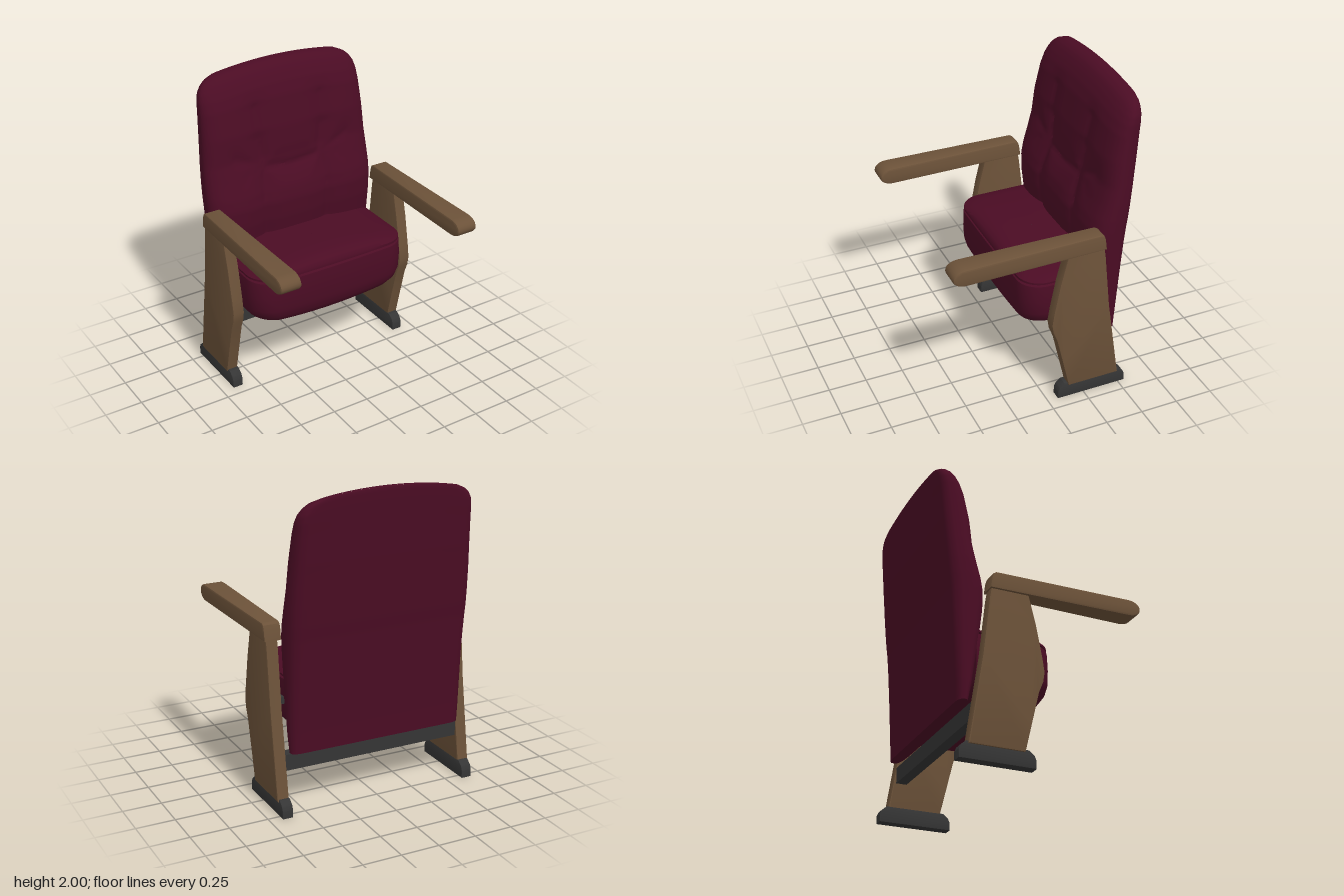
import * as THREE from 'three';
import { toCreasedNormals } from 'three/addons/utils/BufferGeometryUtils.js';

const material = (name, color) => Object.assign(new THREE.MeshStandardMaterial({ color }), { name });

// Linear lookup in a list of [key, a, b, ...] rows
function lookup(rows, k, col) {
  let i = 0;
  while (i < rows.length - 2 && k > rows[i + 1][0]) i++;
  const t = THREE.MathUtils.clamp((k - rows[i][0]) / (rows[i + 1][0] - rows[i][0]), 0, 1);
  return THREE.MathUtils.lerp(rows[i][col], rows[i + 1][col], t);
}

// Skin over a stack of closed rings, bottom to top
function loft(rings, crease) {
  const n = rings[0].length, index = [];
  for (let r = 0; r < rings.length - 1; r++) {
    for (let i = 0; i < n; i++) {
      const a = r * n + i, b = r * n + (i + 1) % n;
      index.push(a, b, b + n, a, b + n, a + n);
    }
  }
  const geo = new THREE.BufferGeometry();
  geo.setAttribute('position', new THREE.Float32BufferAttribute(rings.flat(2), 3));
  geo.setIndex(index);
  return toCreasedNormals(geo, crease);
}

// Side profile of [z, y] points, extruded across x and centred
function sideExtrude(points, width, bevel) {
  const shape = new THREE.Shape(points.map(([z, y]) => new THREE.Vector2(z, y)));
  const geo = new THREE.ExtrudeGeometry(shape, {
    depth: width - 2 * bevel, bevelEnabled: true, bevelSize: bevel,
    bevelThickness: bevel, bevelOffset: -bevel, bevelSegments: 2,
  });
  geo.translate(0, 0, bevel - width / 2);
  geo.rotateY(-Math.PI / 2);
  return geo;
}

// Tufting seams on one half of the backrest: x1, y1, x2, y2, depth
const SEAMS = [
  [0.24, 1.76, 0.235, 1.55, 0.6], [0.235, 1.55, 0.205, 1.36, 1],
  [0.21, 1.34, 0.235, 1.15, 1], [0.235, 1.15, 0.23, 0.9, 0.9], [0.23, 0.9, 0.24, 0.6, 0.7],
  [0, 1.335, 0.21, 1.355, 1], [0.21, 1.355, 0.41, 1.45, 0.45], [0.21, 1.35, 0.33, 1.34, 0.3],
];
function tuft(x, y) {
  let narrow = 0, wide = 0;
  x = Math.abs(x);
  for (const [x1, y1, x2, y2, depth] of SEAMS) {
    const dx = x2 - x1, dy = y2 - y1;
    const t = THREE.MathUtils.clamp(((x - x1) * dx + (y - y1) * dy) / (dx * dx + dy * dy), 0, 1);
    const d = Math.hypot(x - x1 - t * dx, y - y1 - t * dy);
    narrow = Math.max(narrow, depth * Math.exp(-((d / 0.02) ** 2)));
    wide = Math.max(wide, depth * Math.exp(-((d / 0.08) ** 2)));
  }
  return 0.012 * narrow + 0.018 * wide;
}

// Backrest rows: height, half width, front z, back z
const BACK = [
  [0.39, 0.585, -0.43, -0.51], [0.5, 0.592, -0.405, -0.515], [0.8, 0.6, -0.355, -0.535],
  [1.0, 0.605, -0.328, -0.55], [1.12, 0.609, -0.325, -0.56], [1.2, 0.61, -0.34, -0.57],
  [1.3, 0.608, -0.37, -0.58], [1.42, 0.602, -0.4, -0.592], [1.6, 0.592, -0.417, -0.61],
  [1.8, 0.582, -0.455, -0.625], [1.88, 0.577, -0.483, -0.632], [1.93, 0.566, -0.51, -0.636],
  [1.965, 0.543, -0.535, -0.638], [1.985, 0.515, -0.556, -0.639], [2.0, 0.46, -0.59, -0.638],
];
function backrestGeometry() {
  const rows = 84, cols = 80, backCols = 20, rings = [];
  for (let r = 0; r <= rows; r++) {
    const v = r / rows;
    const h = 0.39 + 1.61 * (1 - (1 - v) ** 1.25);
    const [w, zf, zb] = [1, 2, 3].map((c) => lookup(BACK, h, c));
    const mid = (zf + zb) / 2;
    const arch = 0.05 * THREE.MathUtils.smoothstep(h, 1.5, 2);
    const ring = [];
    const add = (s, front) => {
      const x = w * s, y = h - arch * (x / 0.52) ** 2;
      const edge = Math.sqrt(Math.max(0, 1 - Math.abs(s) ** (front ? 8 : 30)));
      let z = mid + ((front ? zf : zb) - mid) * edge;
      if (front) z -= tuft(x, h) * edge * (1 - THREE.MathUtils.smoothstep(h, 1.75, 1.95));
      ring.push([x, y, z]);
    };
    for (let i = 0; i <= cols; i++) add(Math.sin(Math.PI * (i / cols - 0.5)), true);
    for (let i = 1; i < backCols; i++) add(Math.sin(Math.PI * (0.5 - i / backCols)), false);
    const closing = ring.map(([x, y]) => [x, y, mid]);
    if (r === 0) rings.push(closing);
    rings.push(ring);
    if (r === rows) rings.push(closing);
  }
  return loft(rings, 0.8);
}

// Seat layers: height, inset, rise toward the sides, scale
const SEAT = [
  [0.45, 0.16, 0.03, 0.01], [0.45, 0.16, 0.03, 0.5], [0.452, 0.14, 0.04, 1], [0.465, 0.085, 0.045, 1],
  [0.495, 0.04, 0.045, 1], [0.54, 0.012, 0.035, 1], [0.6, 0, 0.02, 1], [0.7, -0.003, 0.01, 1],
  [0.8, 0, 0.012, 1], [0.812, 0.002, 0.012, 1], [0.82, 0.016, 0.012, 1], [0.828, 0.004, 0.01, 1],
  [0.85, 0.004, 0, 1], [0.875, 0.022, -0.02, 1], [0.893, 0.055, -0.03, 1], [0.902, 0.11, -0.035, 1],
  [0.905, 0.13, -0.035, 0.6], [0.905, 0.13, -0.035, 0.01],
];
function seatGeometry() {
  const zBack = -0.4, zMid = -0.18, radius = 0.15, arc = 10, edge = 16;
  const rings = SEAT.map(([y, inset, rise, scale]) => {
    const hw = 0.568 - inset, zf = 0.115 - inset, plan = [];
    for (let i = 0; i < 6; i++) plan.push([-hw, zBack + (zf - radius - zBack) * i / 6]);
    const corner = (sign, a) => plan.push([sign * (hw - radius + radius * Math.cos(a)), zf - radius + radius * Math.sin(a)]);
    for (let i = 0; i <= arc; i++) corner(-1, i / arc * Math.PI / 2);
    for (let i = 1; i < edge; i++) plan.push([(hw - radius) * (2 * i / edge - 1), zf]);
    for (let i = arc; i >= 0; i--) corner(1, i / arc * Math.PI / 2);
    for (let i = 5; i >= 0; i--) plan.push([hw, zBack + (zf - radius - zBack) * i / 6]);
    for (let i = 1; i < edge; i++) plan.push([hw * (1 - 2 * i / edge), zBack]);
    return plan.map(([x, z]) => [x * scale, y + rise * (x * scale / 0.568) ** 2, zMid + (z - zMid) * scale]);
  });
  return loft(rings, 0.8);
}

// Armrest with a rounded nose, slightly narrower toward the back
function armrestGeometry() {
  const profile = [[-0.365, 1.08], [0.56, 1.08]];
  for (let i = 1; i < 12; i++) {
    const a = -Math.PI / 2 + Math.PI * i / 12;
    profile.push([0.56 + 0.08 * Math.cos(a), 1.135 + 0.055 * Math.sin(a)]);
  }
  profile.push([0.56, 1.19], [-0.325, 1.19], [-0.345, 1.178], [-0.355, 1.15]);
  const geo = sideExtrude(profile, 0.14, 0.012);
  const p = geo.attributes.position;
  for (let i = 0; i < p.count; i++) {
    const k = THREE.MathUtils.clamp((p.getZ(i) + 0.36) / 0.8, 0, 1);
    p.setX(i, p.getX(i) * (0.8 + 0.2 * k));
  }
  return toCreasedNormals(geo, 0.6);
}

export function createModel() {
  const fabric = material('burgundy fabric', 0x4b0c24);
  const wood = material('brown wood', 0x6c5239);
  const metal = material('dark grey metal', 0x353535);
  const model = new THREE.Group();
  const add = (parent, name, geo, mat, x = 0, y = 0, z = 0) => {
    const mesh = new THREE.Mesh(geo, mat);
    mesh.name = name;
    mesh.position.set(x, y, z);
    parent.add(mesh);
  };

  // Cushions
  add(model, 'backrest', backrestGeometry(), fabric);
  add(model, 'seat', seatGeometry(), fabric);

  // Frame between the legs
  add(model, 'crossbar', new THREE.BoxGeometry(1.22, 0.105, 0.07), metal, 0, 0.318, -0.41);
  add(model, 'seatHinge', new THREE.BoxGeometry(1.22, 0.045, 0.26), metal, 0, 0.695, -0.24);

  // Side frames
  const armrest = armrestGeometry();
  const leg = toCreasedNormals(sideExtrude([
    [-0.14, 0.09], [-0.095, 0.28], [-0.05, 0.47], [-0.022, 0.54], [-0.012, 0.6], [-0.025, 0.69],
    [-0.065, 0.9], [-0.115, 1.1], [-0.115, 1.14], [-0.345, 1.14], [-0.365, 1.02], [-0.405, 0.65], [-0.49, 0.09],
  ], 0.077, 0.008), 0.5);
  const foot = toCreasedNormals(sideExtrude([
    [-0.545, 0], [-0.07, 0], [-0.07, 0.05], [-0.082, 0.078], [-0.115, 0.106],
    [-0.5, 0.106], [-0.533, 0.078], [-0.545, 0.05],
  ], 0.07, 0.004), 0.5);
  for (const [side, sign] of [['left', 1], ['right', -1]]) {
    const frame = new THREE.Group();
    frame.name = side + 'SideFrame';
    add(frame, side + 'Armrest', armrest, wood, sign * 0.635);
    add(frame, side + 'Leg', leg, wood, sign * 0.64);
    add(frame, side + 'Foot', foot, metal, sign * 0.636);
    model.add(frame);
  }
  return model;
}
